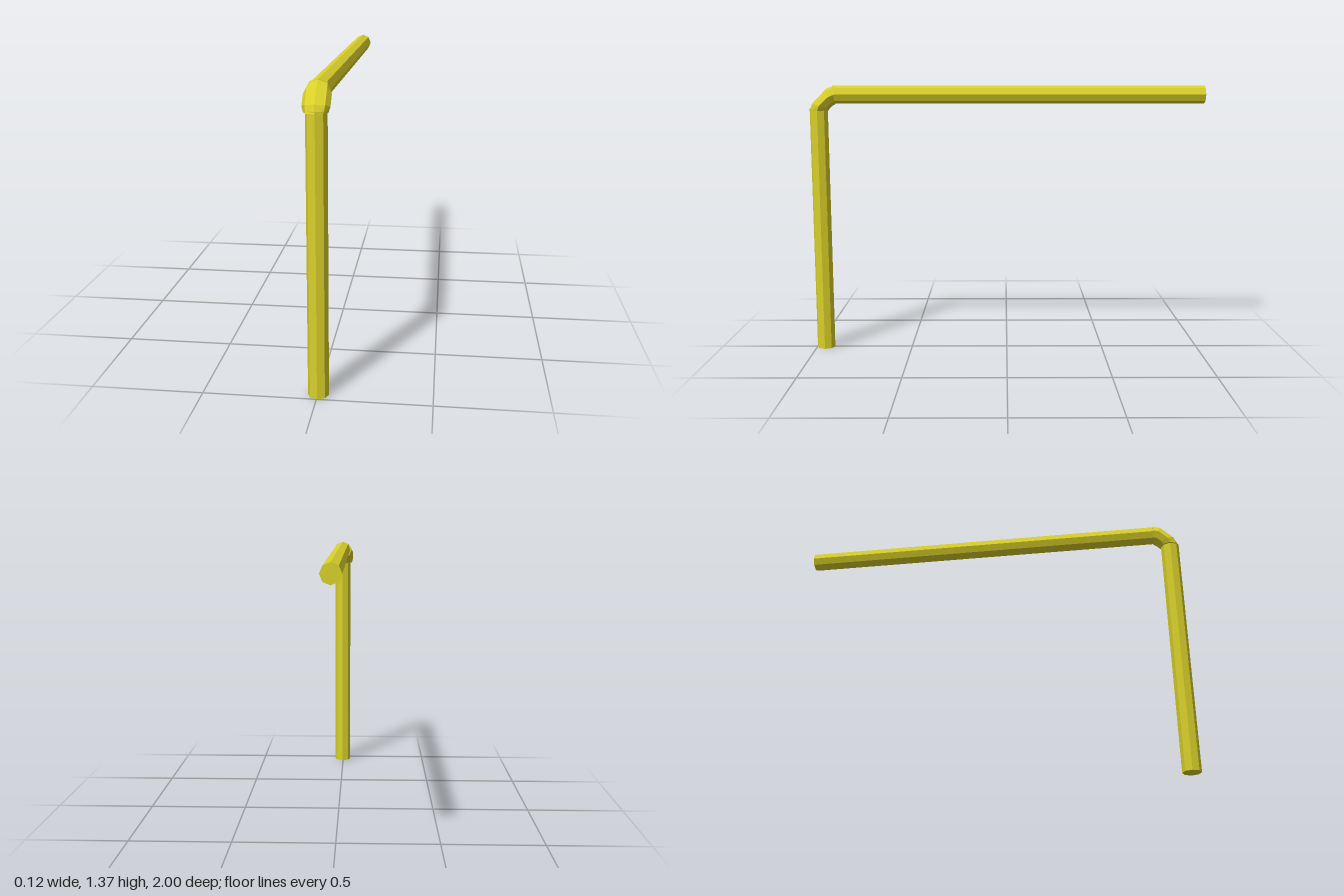
import * as THREE from 'three';

const SIDES = 8;
const RADIUS = 0.046;
const CENTRE_X = 0.003;

// Closed faceted skin through rings given as outer [z, y], inner [z, y], half width
function loftElbow(stations) {
  const positions = [];
  const index = [];
  for (const [outer, inner, halfWidth] of stations) {
    const cz = (outer[0] + inner[0]) / 2;
    const cy = (outer[1] + inner[1]) / 2;
    for (let j = 0; j < SIDES; j++) {
      const a = (j / SIDES) * Math.PI * 2;
      positions.push(
        Math.sin(a) * halfWidth,
        cy + Math.cos(a) * (outer[1] - cy),
        cz + Math.cos(a) * (outer[0] - cz)
      );
    }
  }
  const last = (stations.length - 1) * SIDES;
  for (let i = 0; i < last; i += SIDES) {
    for (let j = 0; j < SIDES; j++) {
      const k = (j + 1) % SIDES;
      index.push(i + j, i + k, i + SIDES + k, i + j, i + SIDES + k, i + SIDES + j);
    }
  }
  // End caps
  for (let j = 1; j < SIDES - 1; j++) {
    index.push(0, j + 1, j, last, last + j, last + j + 1);
  }
  const geometry = new THREE.BufferGeometry();
  geometry.setAttribute('position', new THREE.Float32BufferAttribute(positions, 3));
  geometry.setIndex(index);
  geometry.computeVertexNormals();
  return geometry;
}

export function createModel() {
  const group = new THREE.Group();
  const material = new THREE.MeshStandardMaterial({ color: 0xd9d02a, flatShading: true });

  const add = (name, geometry, y, z) => {
    const mesh = new THREE.Mesh(geometry, material);
    mesh.name = name;
    mesh.position.set(CENTRE_X, y, z);
    group.add(mesh);
    return mesh;
  };

  // Upright pipe standing on the ground
  add('uprightPipe', new THREE.CylinderGeometry(RADIUS, RADIUS, 1.25, SIDES), 0.625, 0.953);

  // Long horizontal pipe running to the back
  const arm = add('horizontalPipe', new THREE.CylinderGeometry(RADIUS, RADIUS, 1.88, SIDES), 1.32, -0.06);
  arm.rotation.x = Math.PI / 2;

  // Slightly wider bent joint between the two pipes
  const elbow = add('elbowJoint', loftElbow([
    [[1.0, 1.24], [0.903, 1.24], 0.052],
    [[0.985, 1.277], [0.897, 1.25], 0.059],
    [[0.912, 1.35], [0.885, 1.262], 0.059],
    [[0.868, 1.367], [0.868, 1.272], 0.052],
  ]), 0, 0);
  elbow.position.x = 0;

  return group;
}
